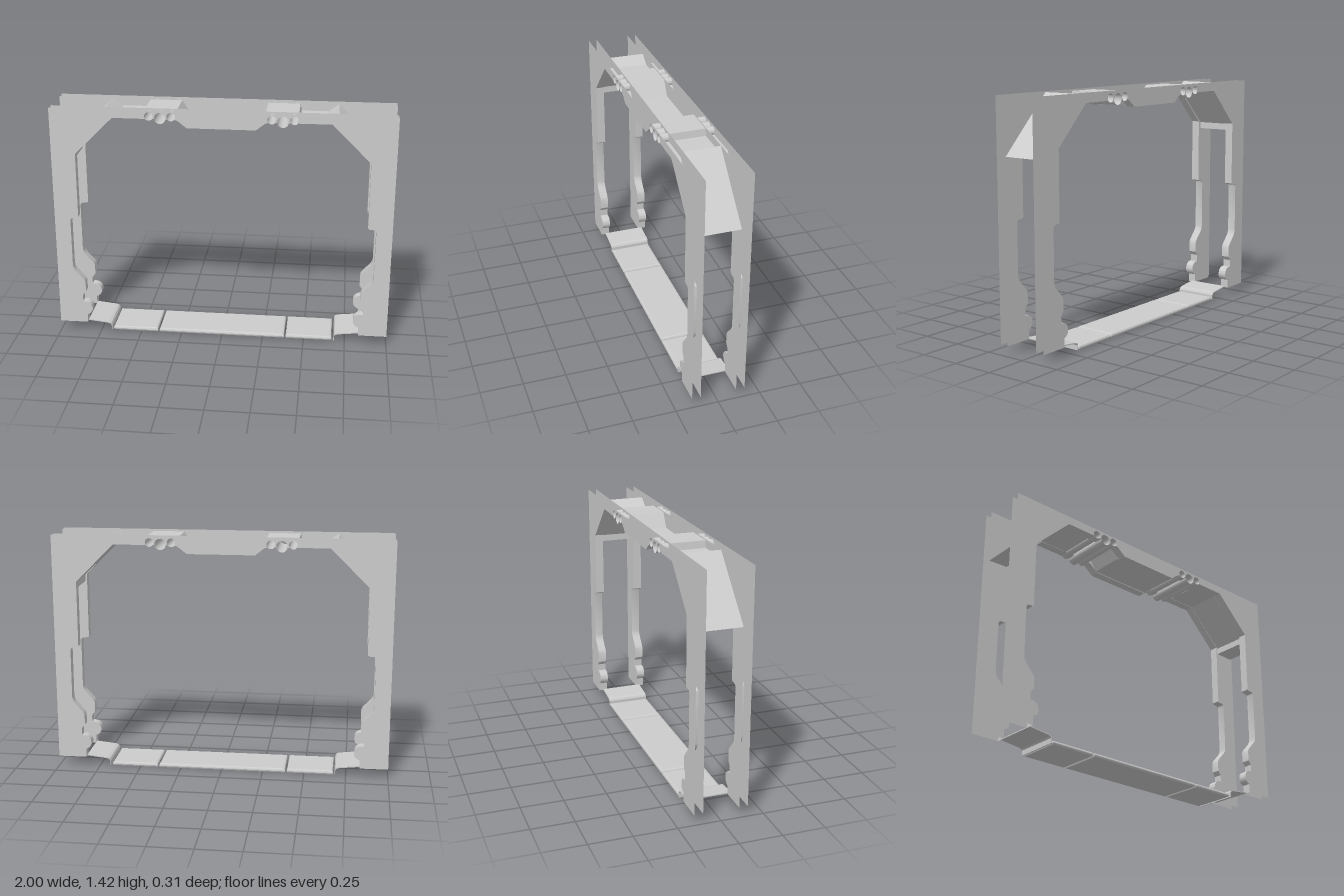
import * as THREE from 'three';
import { toCreasedNormals } from 'three/addons/utils/BufferGeometryUtils.js';

const OUT = 0.156, IN = 0.105; // depth of the outer and inner frame sheets
const TOP = 1.425, LINTEL = 1.375;
const PIPES = [[0.288, 1.39, 0.025], [0.352, 1.38, 0.033], [0.417, 1.39, 0.025]];

const grey = new THREE.MeshStandardMaterial({ color: 0xcccccc, side: THREE.DoubleSide });

function addMesh(group, name, geometry) {
  const mesh = new THREE.Mesh(geometry, grey);
  mesh.name = name;
  group.add(mesh);
  return mesh;
}

function arc(cx, cy, r, from, to, steps) {
  return Array.from({ length: steps + 1 }, (_, i) => {
    const a = from + (to - from) * i / steps;
    return [cx + r * Math.cos(a), cy + r * Math.sin(a)];
  });
}

const mirror = pts => pts.map(([x, y]) => [-x, y]).reverse();
const toShape = pts => new THREE.Shape(pts.map(([x, y]) => new THREE.Vector2(x, y)));

// Right half of the opening, from the middle of the lintel down to the foot
function openingHalf() {
  const pts = [[0.198, 1.327], [0.25, 1.368]];
  for (const [x, y, r] of PIPES) {
    const a = Math.asin((LINTEL - y) / r);
    pts.push(...arc(x, y, r, Math.PI - a, a, 18));
  }
  pts.push([0.63, LINTEL], [0.857, 1.15], [0.857, 0.757], [0.865, 0.75], [0.893, 0.748]);
  pts.push([0.902, 0.742], [0.906, 0.73], [0.906, 0.44], [0.902, 0.42], [0.89, 0.4]);
  pts.push([0.842, 0.348], [0.833, 0.33], [0.833, 0.268], [0.853, 0.243], [0.853, 0.2]);
  pts.push(...arc(0.84, 0.155, 0.044, Math.PI / 2, Math.PI * 1.42, 14));
  pts.push([0.83, 0.06]);
  return pts;
}

// Strip of wall following a profile between two depths
function wallGeometry(profile, z0, z1) {
  const pos = [];
  for (let i = 0; i < profile.length - 1; i++) {
    const [ax, ay] = profile[i], [bx, by] = profile[i + 1];
    pos.push(ax, ay, z0, ax, ay, z1, bx, by, z1, ax, ay, z0, bx, by, z1, bx, by, z0);
  }
  const g = new THREE.BufferGeometry();
  g.setAttribute('position', new THREE.Float32BufferAttribute(pos, 3));
  g.computeVertexNormals();
  return toCreasedNormals(g, 0.6);
}

function extrudeCentred(pts, depth) {
  return new THREE.ExtrudeGeometry(toShape(pts), { depth, bevelEnabled: false })
    .translate(0, 0, -depth / 2);
}

export function createModel() {
  const model = new THREE.Group();
  model.name = 'gateFrame';

  // Two hollow frames, each a pair of sheets joined along the opening
  const half = openingHalf();
  const opening = [...mirror(half), ...half];
  const sheet = new THREE.ShapeGeometry(
    toShape([[1, 0.06], [1, TOP], [-1, TOP], [-1, 0.06], ...opening]));
  for (const side of [1, -1]) {
    const frame = new THREE.Group();
    frame.name = side > 0 ? 'frontFrame' : 'backFrame';
    addMesh(frame, 'outerSheet', sheet).position.z = side * OUT;
    addMesh(frame, 'innerSheet', sheet).position.z = side * IN;
    const [z0, z1] = side > 0 ? [IN, OUT] : [-OUT, -IN];
    addMesh(frame, 'openingWall', wallGeometry(opening, z0, z1));
    model.add(frame);
  }

  // Open pipes running through the lintel
  for (const s of [-1, 1]) {
    for (const [x, y, r] of PIPES) {
      const pipe = new THREE.CylinderGeometry(r, r, OUT * 2, 28, 1, true).rotateX(Math.PI / 2);
      addMesh(model, 'lintelPipe', pipe).position.set(s * x, y, 0);
    }
  }

  // Ceiling between the frames: stepped slab with sloping shoulder wedges
  const ceilTop = [[0.2, 1.336], [0.255, 1.42], [0.443, 1.42], [0.449, 1.379], [0.605, 1.379],
    [0.668, TOP], [0.99, 1.1]];
  const ceilUnder = [[0.87, 1.105], [0.87, 1.145], [0.633, 1.376], [0.445, 1.376], [0.443, 1.415],
    [0.259, 1.415], [0.205, 1.33]];
  const ceilHalf = [...ceilTop, ...ceilUnder];
  const ceiling = extrudeCentred([...ceilHalf, ...mirror(ceilHalf)], IN * 2 - 0.002);
  addMesh(model, 'ceiling', ceiling).position.x = -0.004;

  // Floor plates with chamfered rims
  for (const [x0, x1] of [[-0.675, -0.397], [-0.387, 0.383], [0.392, 0.672]]) {
    const b = 0.012, w = (x1 - x0) / 2 - b, d = 0.13 - b;
    const plate = new THREE.ExtrudeGeometry(toShape([[-w, -d], [w, -d], [w, d], [-w, d]]),
      { depth: 0.004, bevelSize: b, bevelThickness: 0.011, bevelSegments: 2 });
    plate.rotateX(-Math.PI / 2).translate((x0 + x1) / 2, 0.011, 0);
    addMesh(model, 'floorPlate', plate);
  }

  // Bent sills stepping from the floor up to the frame feet
  const sill = [[0.83, 0.066], [0.705, 0.052], [0.69, 0.046], [0.683, 0.034], [0.683, 0.004],
    [0.688, 0.004], [0.688, 0.033], [0.694, 0.041], [0.707, 0.046], [0.83, 0.06]];
  addMesh(model, 'rightSill', extrudeCentred(mirror(sill), 0.26));
  addMesh(model, 'leftSill', extrudeCentred(sill, 0.26));

  return model;
}
